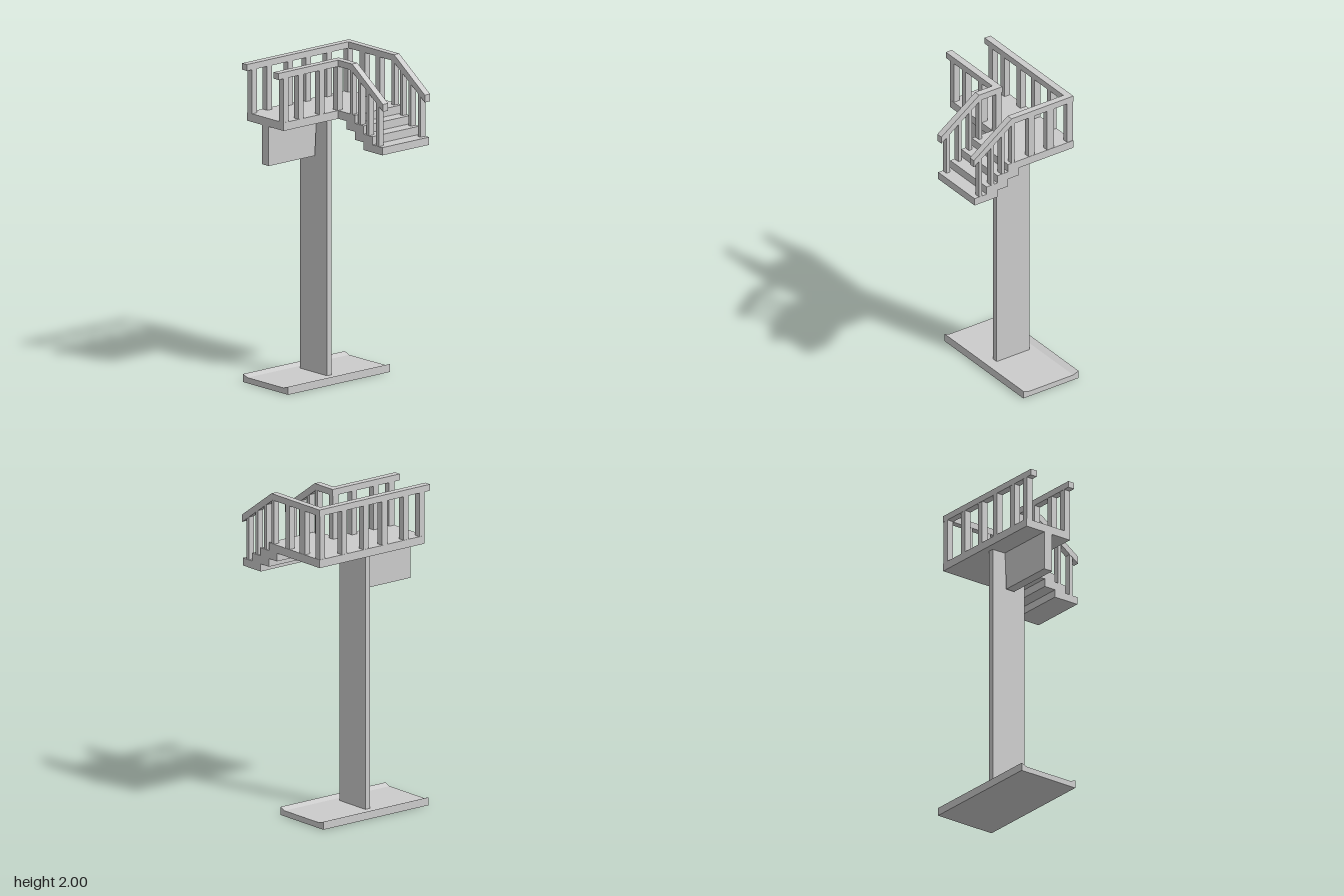
import * as THREE from 'three';

const material = new THREE.MeshStandardMaterial({ color: 0xcccccc, flatShading: true });

export function createModel() {
  const model = new THREE.Group();

  const add = (name, geometry, parent = model) => {
    const mesh = new THREE.Mesh(geometry, material);
    mesh.name = name;
    parent.add(mesh);
    return mesh;
  };

  // Box given by its minimum and maximum on each axis
  const box = (name, [x0, x1], [y0, y1], [z0, z1], parent) => {
    const mesh = add(name, new THREE.BoxGeometry(x1 - x0, y1 - y0, z1 - z0), parent);
    mesh.position.set((x0 + x1) / 2, (y0 + y1) / 2, (z0 + z1) / 2);
    return mesh;
  };

  // Outline in x and y, extruded from z0 to z1
  const prism = (name, points, [z0, z1], parent) => {
    const shape = new THREE.Shape(points.map(([x, y]) => new THREE.Vector2(x, y)));
    const geometry = new THREE.ExtrudeGeometry(shape, { depth: z1 - z0, bevelEnabled: false });
    geometry.translate(0, 0, z0);
    return add(name, geometry, parent);
  };

  const deckBottom = 1.635, deckTop = 1.686, railBottom = 1.96, railTop = 2;

  // Foot plate with raised lips along both long sides
  prism('base', [
    [-0.388, 0], [0.021, 0], [0.021, 0.05], [-0.018, 0.035], [-0.348, 0.035], [-0.388, 0.05],
  ], [-0.432, 0.388]);

  // Flat post and the fin under the front of the deck
  box('post', [-0.306, -0.063], [0.03, deckBottom], [-0.038, 0]);
  const fin = prism('fin', [
    [0.016, 1.39], [0.388, 1.39], [0.388, deckBottom], [0.004, deckBottom],
  ], [0.155, 0.216]);
  fin.geometry.rotateY(-Math.PI / 2);

  // Deck, continued sideways by the stepped stair
  box('deck', [-0.35, -0.02], [deckBottom, deckTop], [-0.43, 0.388]);
  prism('stairs', [
    [-0.02, deckBottom], [0.056, deckBottom], [0.056, 1.584], [0.132, 1.584],
    [0.132, 1.533], [0.21, 1.533], [0.21, 1.485], [0.38, 1.485],
    [0.38, 1.533], [0.291, 1.533], [0.291, 1.584], [0.21, 1.584],
    [0.21, deckBottom], [0.132, deckBottom], [0.132, deckTop], [-0.02, deckTop],
  ], [-0.43, -0.052]);

  // Handrails across the deck and down both sides of the stair
  const slope = (2 - 1.803) / (0.386 - 0.107);
  const stairBalusters = [[0.095, deckTop], [0.169, deckBottom], [0.247, 1.584], [0.335, 1.533]];

  const stairRail = (name, xStart, z) => {
    const group = new THREE.Group();
    group.name = name;
    model.add(group);
    prism('handrail', [
      [xStart, railBottom], [0.095, railBottom], [0.386, 1.757],
      [0.386, 1.803], [0.107, railTop], [xStart, railTop],
    ], [z - 0.021, z + 0.021], group);
    for (const [x, y] of stairBalusters) {
      const top = railTop - Math.max(0, x - 0.107) * slope - 0.022;
      box('stairBaluster', [x - 0.012, x + 0.012], [y - 0.01, top], [z - 0.019, z + 0.019], group);
    }
    return group;
  };
  const backRail = stairRail('backRail', -0.35, -0.41);
  stairRail('innerStairRail', -0.063, -0.073);

  // Balusters along the back of the deck
  for (const [x, half] of [[-0.183, 0.026], [-0.042, 0.021]])
    box('backBaluster', [x - half, x + half], [deckTop - 0.01, railBottom + 0.01], [-0.428, -0.39], backRail);

  // Handrails along both long sides of the deck
  const sideRail = (name, x, zBack, balusters) => {
    const group = new THREE.Group();
    group.name = name;
    model.add(group);
    box('handrail', [x - 0.022, x + 0.022], [railBottom, railTop], [zBack, 0.43], group);
    for (const z of balusters)
      box('sideBaluster', [x - 0.021, x + 0.021], [deckTop - 0.01, railBottom + 0.01], [z - 0.02, z + 0.02], group);
  };
  const innerPosts = [0.368, 0.245, 0.078, -0.069];
  sideRail('rightRail', -0.328, -0.431, [...innerPosts, -0.236, -0.407]);
  sideRail('leftRail', -0.042, -0.094, innerPosts);

  return model;
}
